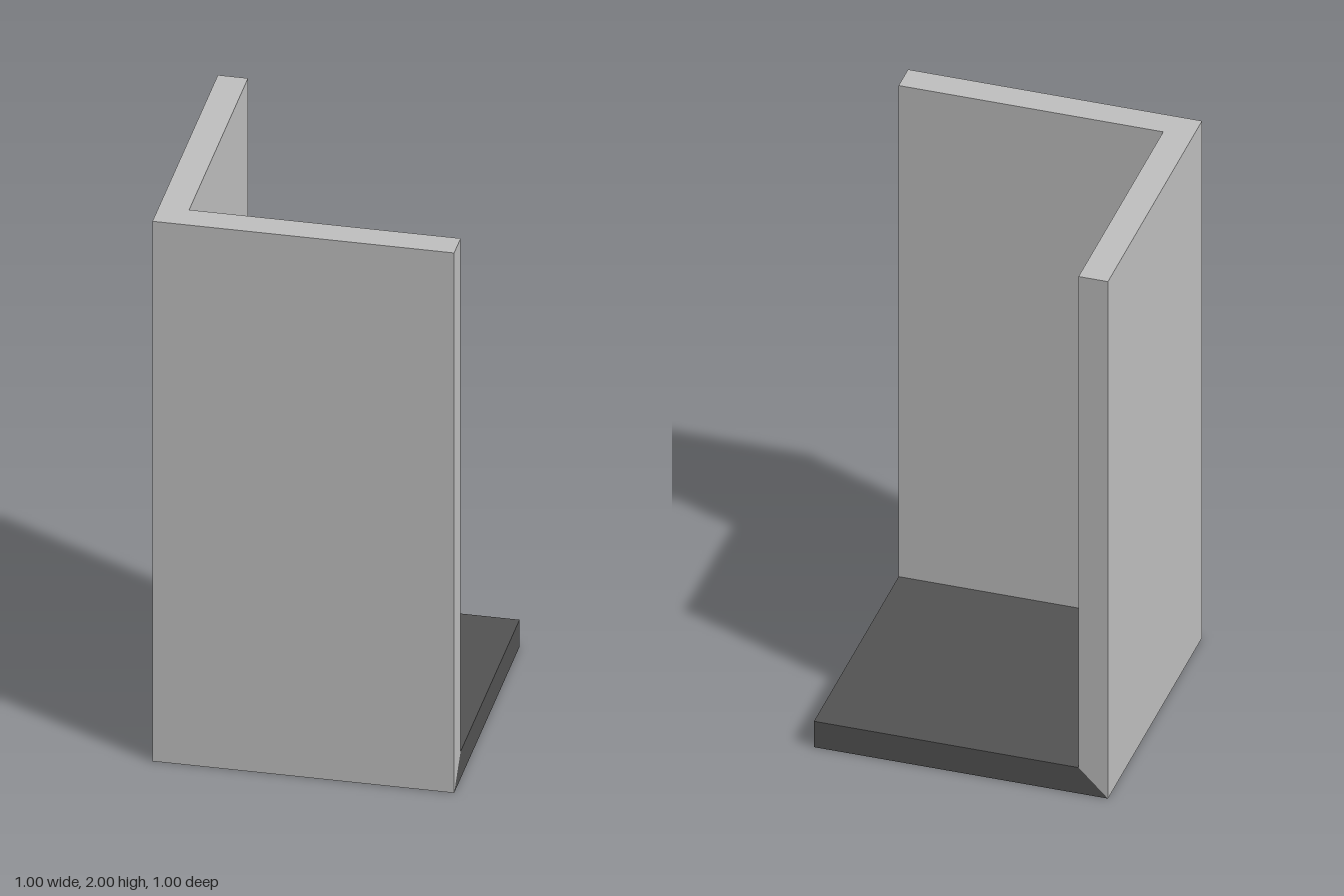
import * as THREE from 'three';

const HALF = 0.5, INNER = 0.4, THICK = 0.1, HEIGHT = 2;

export function createModel() {
  const group = new THREE.Group();
  group.name = 'cornerWallsWithFloor';

  const wallGrey = new THREE.MeshStandardMaterial({ color: 0xc0c0c0 });
  wallGrey.name = 'light grey wall';
  const floorGrey = new THREE.MeshStandardMaterial({ color: 0x535353 });
  floorGrey.name = 'dark grey floor';

  // Two walls as one L-shaped plan (x, -z), extruded upwards
  const plan = new THREE.Shape([
    [-HALF, -HALF], [HALF, -HALF], [HALF, -INNER],
    [-INNER, -INNER], [-INNER, HALF], [-HALF, HALF],
  ].map(([x, y]) => new THREE.Vector2(x, y)));
  const wallGeo = new THREE.ExtrudeGeometry(plan, { depth: HEIGHT, bevelEnabled: false });
  wallGeo.rotateX(-Math.PI / 2);

  // Mitre the foot: raise the inner bottom edge by the floor thickness
  const wp = wallGeo.attributes.position;
  for (let i = 0; i < wp.count; i++) {
    const inner = wp.getX(i) > -INNER - 0.01 && wp.getZ(i) < INNER + 0.01;
    if (inner && wp.getY(i) < 0.01) wp.setY(i, THICK);
  }
  wallGeo.computeVertexNormals();
  const walls = new THREE.Mesh(wallGeo, wallGrey);
  walls.name = 'walls';
  group.add(walls);

  // Floor slab, its top drawn in along the two mitred sides
  const floorGeo = new THREE.BoxGeometry(2 * HALF, THICK, 2 * HALF);
  floorGeo.translate(0, THICK / 2, 0);
  const fp = floorGeo.attributes.position;
  for (let i = 0; i < fp.count; i++) {
    if (fp.getY(i) < 0.01) continue;
    if (fp.getX(i) < 0) fp.setX(i, -INNER);
    if (fp.getZ(i) > 0) fp.setZ(i, INNER);
  }
  floorGeo.computeVertexNormals();
  const floor = new THREE.Mesh(floorGeo, floorGrey);
  floor.name = 'floor';
  group.add(floor);

  return group;
}
